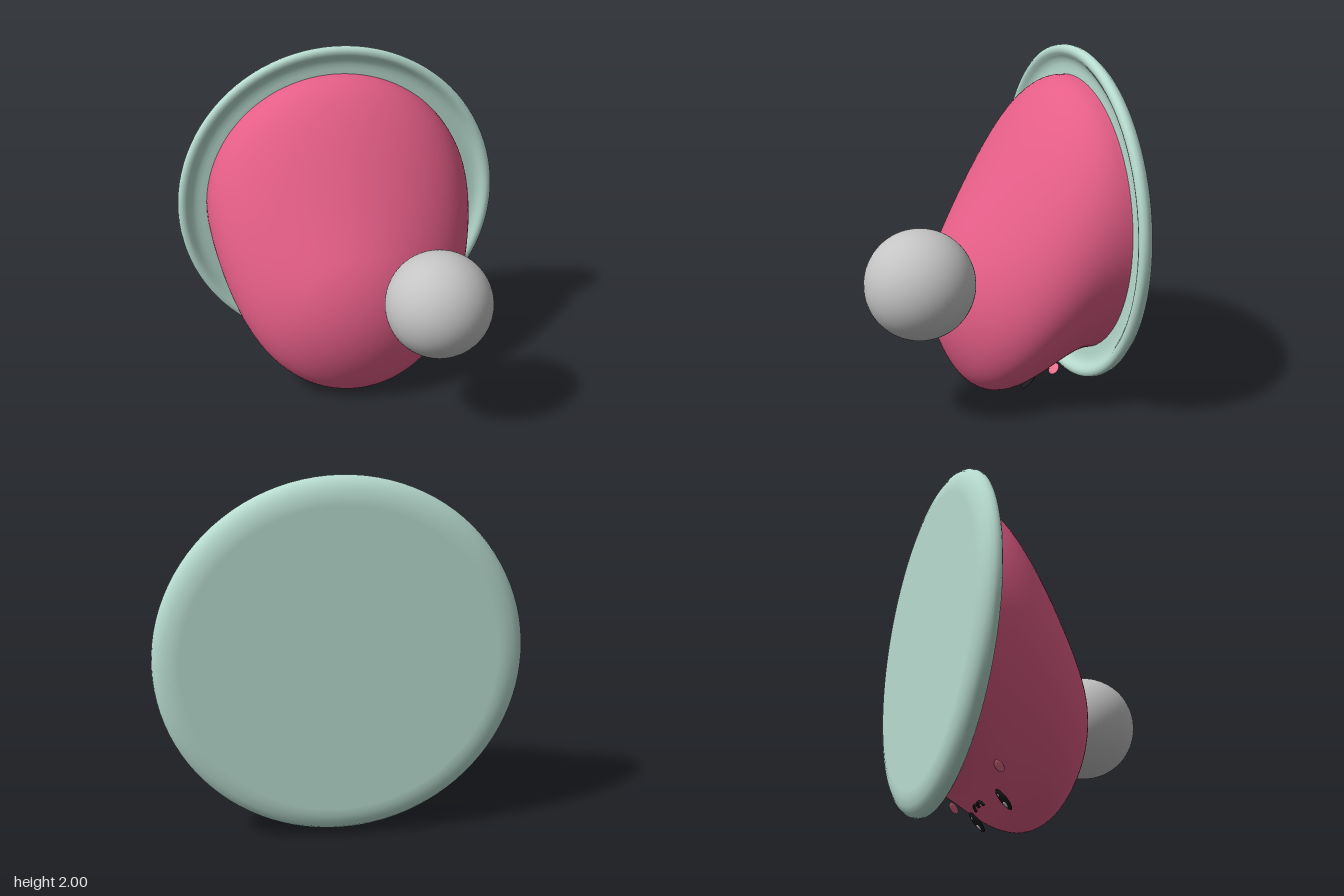
import * as THREE from 'three';
import { mergeVertices } from 'three/addons/utils/BufferGeometryUtils.js';

const material = (name, color) => {
  const m = new THREE.MeshStandardMaterial({ color });
  m.name = name;
  return m;
};

export function createModel() {
  const pink = material('pink', 0xe55e88);
  const mint = material('mint', 0xb9ddd1);
  const grey = material('grey', 0xc4c4c4);
  const black = material('black', 0x1c1a1e);
  const white = material('white', 0xf4f4f4);
  const blush = material('blush', 0xee7391);

  const model = new THREE.Group();
  const add = (parent, name, geometry, mat, x = 0, y = 0, z = 0) => {
    const mesh = new THREE.Mesh(geometry, mat);
    mesh.name = name;
    mesh.position.set(x, y, z);
    parent.add(mesh);
    return mesh;
  };
  const v2 = ([x, y]) => new THREE.Vector2(x, y);

  // Dish: a round plate standing upright, with a raised rolled rim
  const plateProfile = [
    [0, -0.716], [0.84, -0.716], [0.88, -0.714], [0.925, -0.703], [0.96, -0.684],
    [0.979, -0.66], [0.983, -0.64], [0.979, -0.622], [0.965, -0.612], [0.948, -0.61],
    [0.932, -0.615], [0.915, -0.628], [0.895, -0.641], [0.87, -0.647], [0.84, -0.649], [0, -0.649],
  ].map(v2);
  const plate = new THREE.LatheGeometry(plateProfile, 96);
  plate.rotateX(Math.PI / 2);
  add(model, 'plate', plate, mint, 0, 1.018, 0);

  // Body: a dome on the plate whose front sags downward
  const R = 0.808;
  const domeProfile = [new THREE.Vector2(R, -0.04)];
  for (let i = 0; i <= 48; i++) {
    const a = (i / 48) * Math.PI / 2;
    domeProfile.push(new THREE.Vector2(i === 48 ? 0 : R * Math.cos(a), R * Math.sin(a)));
  }
  let body = new THREE.LatheGeometry(domeProfile, 96);
  body.rotateX(Math.PI / 2);
  body.deleteAttribute('uv');
  body.deleteAttribute('normal');
  const pos = body.attributes.position;
  for (let i = 0; i < pos.count; i++) {
    const sag = 0.475 * THREE.MathUtils.smoothstep(1.16 * pos.getZ(i) / R, 0, 1);
    pos.setY(i, pos.getY(i) - sag);
  }
  body = mergeVertices(body, 1e-5);
  body.computeVertexNormals();
  add(model, 'body', body, pink, 0, 1.02, -0.617);

  // Ball resting against the front
  add(model, 'ball', new THREE.SphereGeometry(0.305, 64, 40), grey, 0.385, 0.805, 0.41);

  // Face on the underside, its top toward the front
  const face = new THREE.Group();
  face.name = 'face';
  face.position.set(0, 0.075, -0.315);
  face.rotation.x = THREE.MathUtils.degToRad(138);
  model.add(face);

  const oval = (name, mat, x, y, z, rx, ry, rz) =>
    add(face, name, new THREE.SphereGeometry(1, 32, 16).scale(rx, ry, rz), mat, x, y, z);

  for (const [side, s] of [['left', 1], ['right', -1]]) {
    oval(side + 'Eye', black, s * 0.21, 0, 0, 0.036, 0.067, 0.012);
    oval(side + 'EyeHighlight', white, s * 0.21, 0.026, 0.01, 0.014, 0.019, 0.004);
    oval(side + 'EyeGlint', white, s * 0.21, -0.034, 0.009, 0.008, 0.009, 0.004);
    oval(side + 'Cheek', blush, s * 0.37, -0.146, -0.017, 0.046, 0.036, 0.005);
    // Half of the two-lobed mouth
    const lobe = new THREE.TorusGeometry(0.029, 0.008, 10, 20, Math.PI).rotateZ(Math.PI);
    add(face, side + 'Mouth', lobe, black, s * 0.029, -0.048, 0.036);
    oval(side + 'MouthCorner', black, s * 0.058, -0.048, 0.036, 0.008, 0.008, 0.008);
  }

  return model;
}
